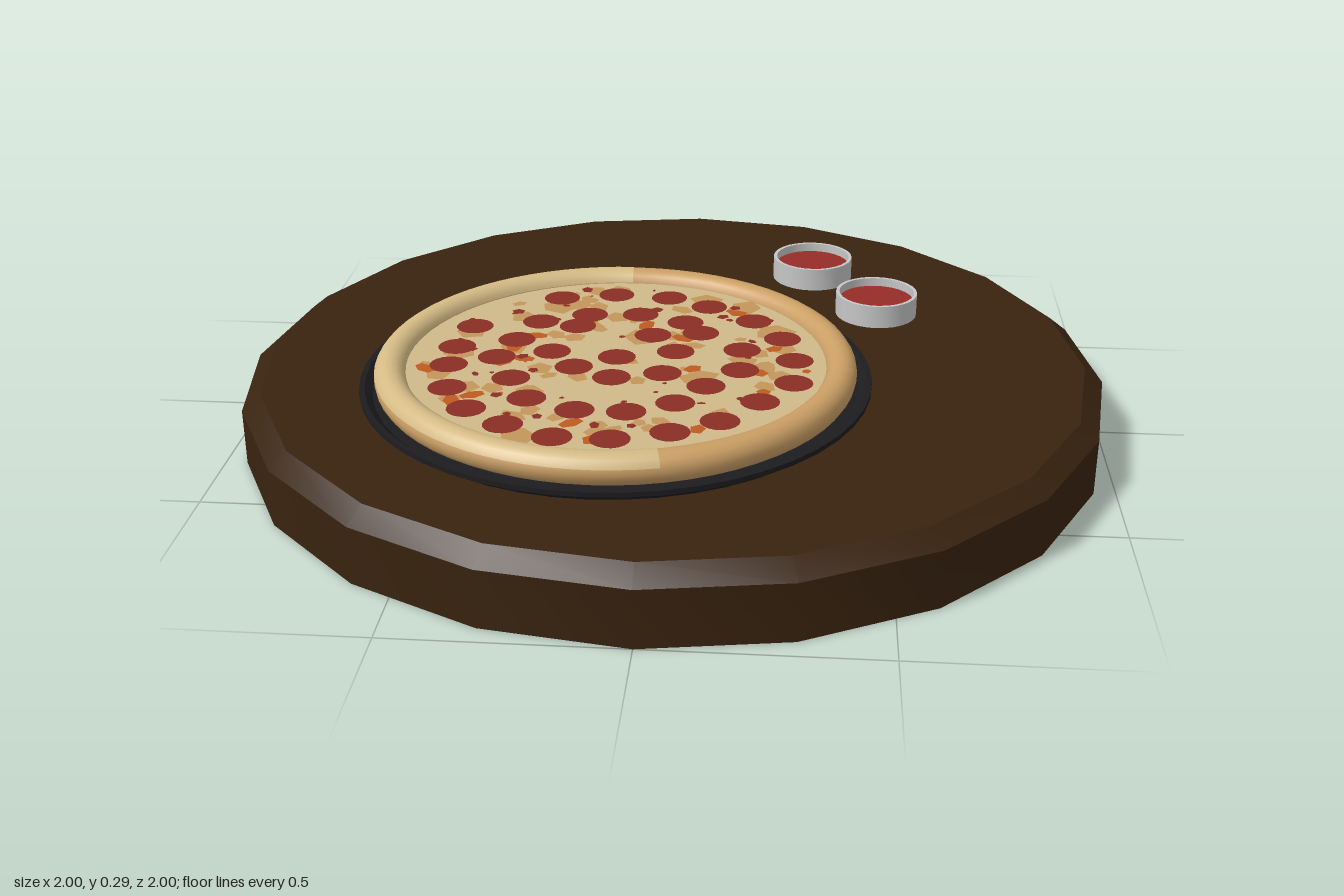
import * as THREE from 'three';
import { toCreasedNormals } from 'three/addons/utils/BufferGeometryUtils.js';

const mat = (name, color, side = THREE.FrontSide) => {
  const m = new THREE.MeshStandardMaterial({ color, side });
  m.name = name;
  return m;
};

export function createModel() {
  const wood = mat('dark wood', 0x39230f, THREE.DoubleSide);
  const iron = mat('black iron', 0x1d1d20);
  const crust = mat('baked crust', 0xcb9f65);
  const paleCrust = mat('pale crust', 0xd4ba85);
  const cheese = mat('cheese', 0xcfb989);
  const browned = mat('browned cheese', 0xc4955a);
  const orange = mat('orange pepper', 0xbf5a20);
  const red = mat('pepperoni red', 0x8a2e25);
  const sauceRed = mat('sauce red', 0x962d27);
  const metal = mat('pale metal', 0xc6c6c6);

  const model = new THREE.Group();
  const add = (parent, name, geometry, material, x = 0, y = 0, z = 0) => {
    const mesh = new THREE.Mesh(geometry, material);
    mesh.name = name;
    mesh.position.set(x, y, z);
    parent.add(mesh);
    return mesh;
  };
  const lathe = (points, sides) => toCreasedNormals(
    new THREE.LatheGeometry(points.map(([r, y]) => new THREE.Vector2(r, y)), sides), 0.5);

  // Hollow table top with a bevelled edge, open underneath
  add(model, 'tableTop', lathe([[1, 0], [1, 0.13], [0.957, 0.165], [0, 0.165]], 20), wood);

  const pizza = new THREE.Group();
  pizza.name = 'pizza';
  pizza.position.set(-0.115, 0, 0.195);
  model.add(pizza);

  // Shallow pan with a flared rim
  add(pizza, 'pan', lathe([[0, 0.172], [0.54, 0.172], [0.574, 0.195], [0.574, 0.206],
    [0.562, 0.206], [0.545, 0.19], [0, 0.19]], 48), iron);

  // Rounded crust ring, with a paler upper band on one side
  const ring = add(pizza, 'crust', new THREE.TorusGeometry(0.505, 0.035, 16, 64), crust, 0, 0.225);
  ring.rotation.x = -Math.PI / 2;
  const band = [];
  for (let i = 0; i <= 10; i++) {
    const a = 0.35 + (i / 10) * 2.5;
    band.push(new THREE.Vector2(0.505 + 0.0365 * Math.cos(a), 0.225 + 0.0365 * Math.sin(a)));
  }
  add(pizza, 'paleCrustBand',
    new THREE.LatheGeometry(band, 40, Math.PI + 0.02, Math.PI + 0.25), paleCrust);
  // Lathe angle 0 points to +z, so the band runs from the back round the right side
  add(pizza, 'cheese', new THREE.CylinderGeometry(0.475, 0.475, 0.04, 64), cheese, 0, 0.213);

  // Flat toppings laid on the cheese
  const disc = (name, x, z, r, sides, material, y, stretch = 1, turn = 0) => {
    const g = new THREE.CircleGeometry(r, sides);
    g.scale(stretch, 1, 1).rotateZ(turn).rotateX(-Math.PI / 2);
    return add(pizza, name, g, material, x, y, z);
  };
  let seed = 7;
  const rand = () => (seed = (seed * 16807) % 2147483647) / 2147483647;
  const flecks = (name, count, size, material, y) => {
    for (let i = 0; i < count; i++) {
      const a = rand() * Math.PI * 2, d = 0.43 * Math.sqrt(rand());
      disc(name, d * Math.cos(a), d * Math.sin(a), size * (0.5 + rand()), 5, material, y,
        0.5 + rand(), rand() * 3);
    }
  };
  flecks('brownedPatch', 75, 0.026, browned, 0.2345);
  flecks('orangeFleck', 22, 0.015, orange, 0.236);
  flecks('redFleck', 40, 0.011, red, 0.237);
  // Larger orange pieces
  [[-24, -5], [-21, 1], [-25, 3], [-42, 8], [-29, 21], [-33, 24], [-20, -12], [5, -20], [14, -13], [-6, 33]]
    .forEach(([x, z], i) =>
      disc('orangePiece', x / 100, z / 100, 0.03, 6, orange, 0.2365, 0.6, i * 1.3));

  // Pepperoni centres, in hundredths
  const slices = [-4, -38, 9, -37, -17, -35, 19, -32, -20, -20, -9, -25, 3, -26, 14, -22, 30, -24,
    -35, -16, -24, -9, -11, -18, 7, -14, 18, -16, 28, -7, 37, -14, -37, -4, -27, 1, -15, -3, 0, -1,
    13, -5, 40, -2, 28, 4, -37, 6, -22, 12, -9, 5, 0, 10, 11, 7, 21, 13, 40, 10, -35, 18, -17, 22,
    33, 20, -29, 28, -6, 27, 5, 27, 15, 22, 25, 30, -20, 35, -9, 40, 3, 40, 15, 36];
  for (let i = 0; i < slices.length; i += 2) {
    disc('pepperoni', slices[i] / 100, slices[i + 1] / 100, 0.043, 18, red, 0.238);
  }

  // Two sauce cups
  [[0.32, 0.235, -0.355], [0.475, 0.218, -0.17]].forEach(([x, y, z]) => {
    const cup = new THREE.Group();
    cup.name = 'sauceCup';
    cup.position.set(x, y, z);
    model.add(cup);
    add(cup, 'cup', lathe([[0, 0], [0.097, 0], [0.097, 0.054], [0.089, 0.054],
      [0.089, 0.02], [0, 0.02]], 28), metal);
    add(cup, 'sauce', new THREE.CylinderGeometry(0.089, 0.089, 0.014, 28), sauceRed, 0, 0.027);
  });
  return model;
}
